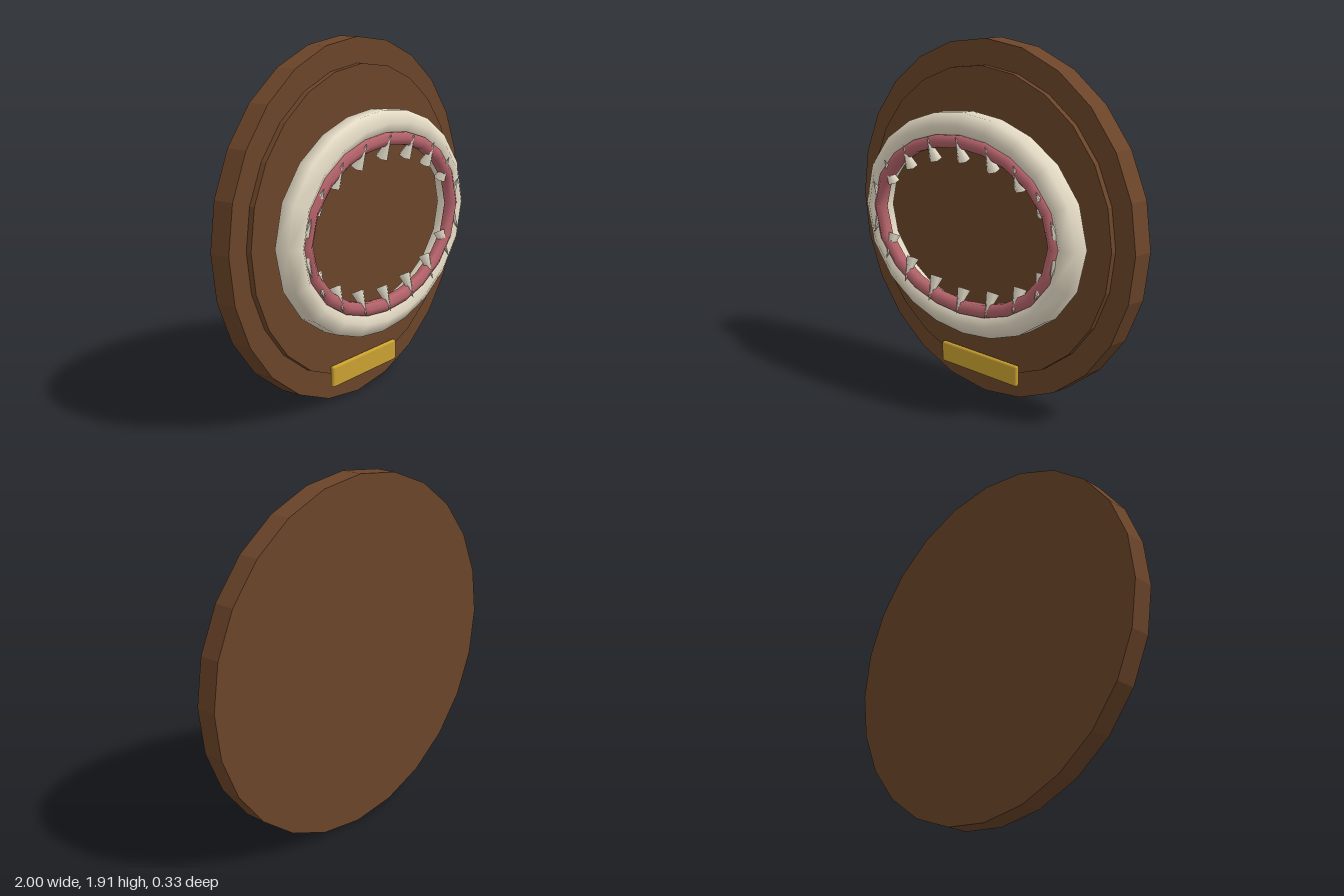
import * as THREE from 'three';
import { RoundedBoxGeometry } from 'three/addons/geometries/RoundedBoxGeometry.js';

const CENTER_Y = 0.953;

// Half of an ellipse in the xy plane; dir = 1 for the upper half, -1 for the lower
class HalfEllipse extends THREE.Curve {
  constructor(rx, ry, dir) {
    super();
    this.rx = rx;
    this.ry = ry;
    this.dir = dir;
  }
  getPoint(t, target = new THREE.Vector3()) {
    const a = Math.PI * t;
    return target.set(this.rx * Math.cos(a), this.dir * this.ry * Math.sin(a), 0);
  }
}

export function createModel() {
  const mat = (name, color, extra = {}) => {
    const m = new THREE.MeshStandardMaterial({ color, ...extra });
    m.name = name;
    return m;
  };
  const wood = mat('wood', 0x6b4429, { flatShading: true });
  const bone = mat('bone', 0xe6dcc6, { side: THREE.DoubleSide });
  const gum = mat('gum', 0xb4636a, { side: THREE.DoubleSide });
  const ivory = mat('ivory', 0xeee6d2);
  const brass = mat('brass', 0xc9a030);

  const model = new THREE.Group();
  model.name = 'jawTrophy';
  const add = (parent, name, geometry, material, x, y, z) => {
    const mesh = new THREE.Mesh(geometry, material);
    mesh.name = name;
    mesh.position.set(x, y, z);
    parent.add(mesh);
    return mesh;
  };

  // Oval mounting board with a raised inner panel
  const oval = (rx, ry, depth) =>
    new THREE.CylinderGeometry(1, 1, depth, 24).rotateX(Math.PI / 2).scale(rx, ry, 1);
  add(model, 'board', oval(1, 0.953, 0.115), wood, 0, CENTER_Y, -0.1075);
  add(model, 'raisedPanel', oval(0.88, 0.818, 0.03), wood, 0, CENTER_Y, -0.035);

  // Name plate
  add(model, 'namePlate', new RoundedBoxGeometry(0.57, 0.115, 0.027, 2, 0.012), brass, 0, 0.168, -0.0075);

  // Upper and lower jaws: bone arch, gum line and a row of teeth
  const toothGeometry = new THREE.ConeGeometry(0.036, 0.14, 6);
  for (const dir of [1, -1]) {
    const jaw = new THREE.Group();
    jaw.name = dir > 0 ? 'upperJaw' : 'lowerJaw';
    jaw.position.y = CENTER_Y + 0.002;
    model.add(jaw);

    add(jaw, 'jawBone', new THREE.TubeGeometry(new HalfEllipse(0.71, 0.52, dir), 10, 0.078, 6), bone, 0, 0, 0.077);
    add(jaw, 'gumLine', new THREE.TubeGeometry(new HalfEllipse(0.65, 0.44, dir), 10, 0.038, 6), gum, 0, 0, 0.12);

    // Teeth lean forward, their tips pushing out through the gum
    for (let i = 1; i <= 9; i++) {
      const a = (Math.PI * i) / 10;
      const x = 0.69 * Math.cos(a);
      const y = dir * (0.47 * Math.sin(a) - 0.063);
      const tooth = add(jaw, 'tooth', toothGeometry, ivory, x, y, 0.135);
      tooth.rotation.x = dir > 0 ? 0.45 : Math.PI - 0.45;
    }
  }
  return model;
}
